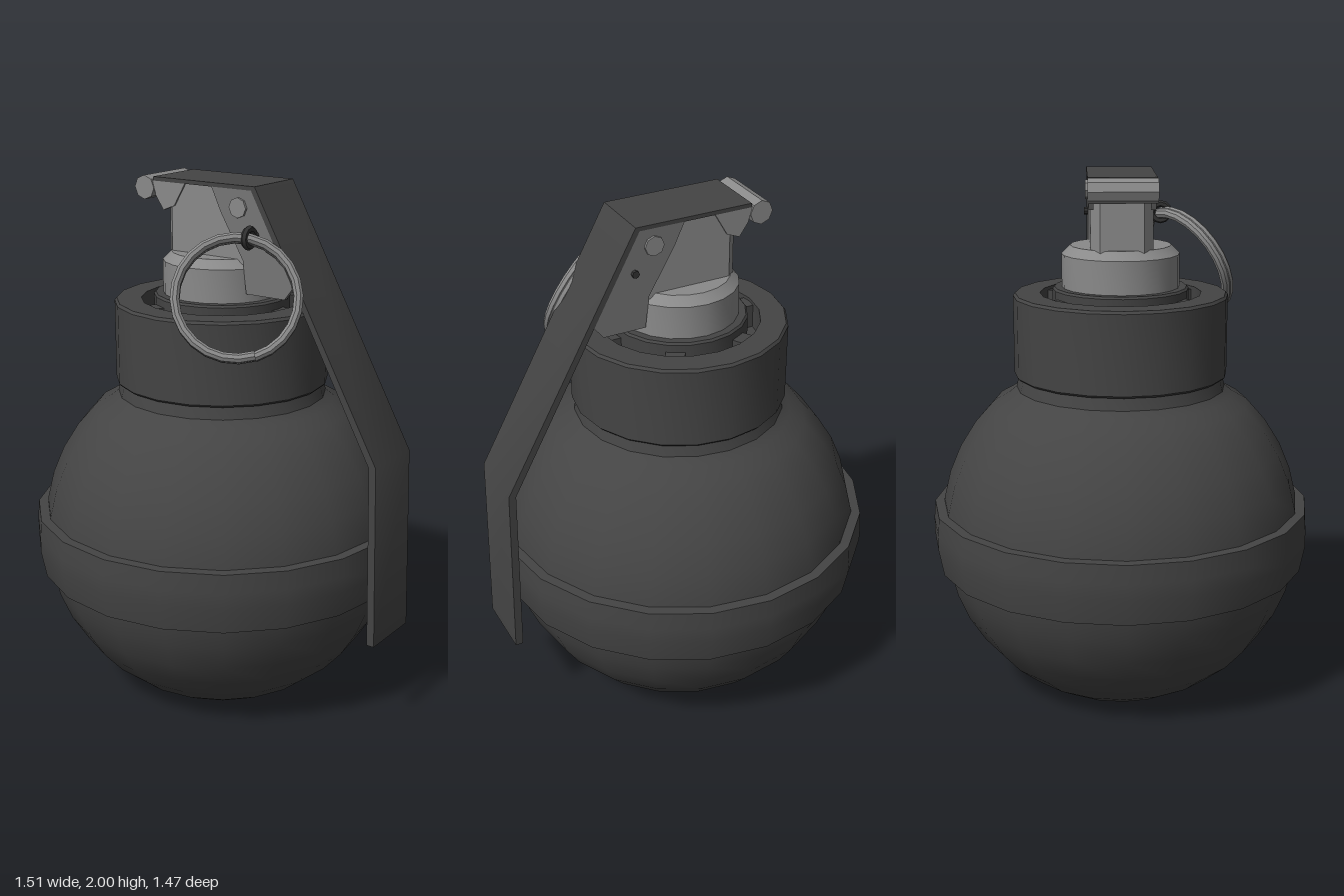
import * as THREE from 'three';
import { toCreasedNormals } from 'three/addons/utils/BufferGeometryUtils.js';

const DARK = 0x444444, STEEL = 0x8a8a8a, BLACK = 0x333333;
const AXIS_X = -0.02; // the body sits slightly right of the overall centre

export function createModel() {
  const root = new THREE.Group();

  const add = (name, geometry, color, x = 0, y = 0, z = 0) => {
    const material = new THREE.MeshStandardMaterial({ color });
    const mesh = new THREE.Mesh(toCreasedNormals(geometry, 0.55), material);
    mesh.name = name;
    mesh.position.set(x, y, z);
    root.add(mesh);
    return mesh;
  };
  const lathe = (name, points, color, sides = 20) =>
    add(name, new THREE.LatheGeometry(points.map(p => new THREE.Vector2(...p)), sides), color, AXIS_X);
  // xy outline extruded along z, centred on z
  const plate = (name, points, depth, color, z = 0) => {
    const shape = new THREE.Shape(points.map(p => new THREE.Vector2(...p)));
    const geometry = new THREE.ExtrudeGeometry(shape, { depth, bevelEnabled: false });
    return add(name, geometry, color, 0, 0, z - depth / 2);
  };

  // Round body: flat base, sphere section, short concave neck
  const body = [[0, 0]];
  const R = 0.7, cy = 0.63;
  for (let i = 0; i <= 12; i++) {
    const a = THREE.MathUtils.lerp(-1.12, 0.8, i / 12);
    body.push([R * Math.cos(a), cy + R * Math.sin(a)]);
  }
  body.push([0.43, 1.165], [0.4, 1.19], [0.385, 1.25]);
  lathe('body', body, DARK);

  // Raised belt around the middle
  lathe('belt', [[0.66, 0.495], [0.715, 0.5], [0.734, 0.6], [0.734, 0.66], [0.728, 0.73], [0.66, 0.733]], DARK);

  // Collar with a recessed top
  lathe('collar', [[0.36, 1.237], [0.4, 1.237], [0.407, 1.245], [0.407, 1.542], [0.399, 1.552],
    [0.305, 1.552], [0.305, 1.45], [0.2, 1.45]], DARK);
  lathe('innerRing', [[0.257, 1.44], [0.257, 1.568], [0.25, 1.576], [0.18, 1.576]], DARK);

  // Lugs bridging the gap between the collar and the inner ring
  for (let i = 0; i < 6; i++) {
    const a = i * Math.PI / 3;
    const lug = add('lug', new THREE.BoxGeometry(0.08, 0.09, 0.07), DARK,
      AXIS_X + 0.28 * Math.cos(a), 1.495, 0.28 * Math.sin(a));
    lug.rotation.y = -a;
  }

  // Fuze hub and the head above it
  lathe('fuzeHub', [[0.222, 1.56], [0.222, 1.7], [0.19, 1.732], [0, 1.732]], STEEL);
  const head = new THREE.Shape([[-0.2, -0.08], [-0.165, -0.115], [0.16, -0.115], [0.16, 0.115],
    [-0.165, 0.115], [-0.2, 0.08]].map(p => new THREE.Vector2(...p)));
  const headGeometry = new THREE.ExtrudeGeometry(head, { depth: 0.27, bevelEnabled: false });
  headGeometry.rotateX(-Math.PI / 2);
  add('fuzeHead', headGeometry, STEEL, 0, 1.715, 0);

  // Bent safety lever
  plate('lever', [[-0.245, 1.985], [0.195, 1.985], [0.708, 1.05], [0.725, 0.36], [0.755, 0.36],
    [0.736, 1.055], [0.21, 2], [-0.245, 2]], 0.25, DARK);

  // Side cheeks, hinge hooks and cross pins under the lever
  for (const s of [-1, 1]) {
    plate('leverCheek', [[0.02, 1.985], [0.06, 1.9], [0.16, 1.73], [0.175, 1.61], [0.34, 1.61],
      [0.375, 1.655], [0.196, 1.985]], 0.018, 0x757575, s * 0.113);
    plate('hingeHook', [[-0.25, 1.985], [-0.235, 1.93], [-0.2, 1.88], [-0.15, 1.9], [-0.1, 1.985]],
      0.018, STEEL, s * 0.113);
  }
  const pin = (name, r, length, x, y) => {
    const geometry = new THREE.CylinderGeometry(r, r, length, 8);
    geometry.rotateX(Math.PI / 2);
    add(name, geometry, STEEL, x, y, 0);
  };
  pin('hingePin', 0.045, 0.25, -0.287, 1.957);
  pin('strikerPin', 0.037, 0.262, 0.14, 1.92);

  // Safety pin with its eye
  const shaft = new THREE.CylinderGeometry(0.014, 0.014, 0.27, 8);
  shaft.rotateX(Math.PI / 2);
  add('safetyPin', shaft, BLACK, 0.215, 1.83, 0);
  const eye = add('safetyPinEye', new THREE.TorusGeometry(0.032, 0.013, 6, 12), BLACK, 0.215, 1.825, 0.163);
  eye.rotation.y = Math.PI / 2;

  // Split pull ring: two tilted coils whose ends meet near the bottom
  const n = new THREE.Vector3(0.52, 0.43, 0.74).normalize();
  const up = new THREE.Vector3(0, 1, 0).addScaledVector(n, -n.y).normalize();
  const side = new THREE.Vector3().crossVectors(up, n);
  const coil = [];
  for (let i = 0; i <= 40; i++) {
    const a = 0.3 + i / 20 * Math.PI * 2;
    coil.push(new THREE.Vector3(0.235, 1.63, 0.268)
      .addScaledVector(up, -0.218 * Math.cos(a))
      .addScaledVector(side, 0.218 * Math.sin(a))
      .addScaledVector(n, 0.036 * (i / 40 - 0.5)));
  }
  const curve = new THREE.CatmullRomCurve3(coil);
  add('pullRing', new THREE.TubeGeometry(curve, 48, 0.018, 8), STEEL);
  // End caps of the ring wire
  for (const t of [0, 1]) {
    const cap = add('ringEnd', new THREE.CircleGeometry(0.018, 8), STEEL, ...curve.getPoint(t).toArray());
    const out = curve.getTangent(t).multiplyScalar(t ? 1 : -1);
    cap.quaternion.setFromUnitVectors(new THREE.Vector3(0, 0, 1), out);
  }

  return root;
}
